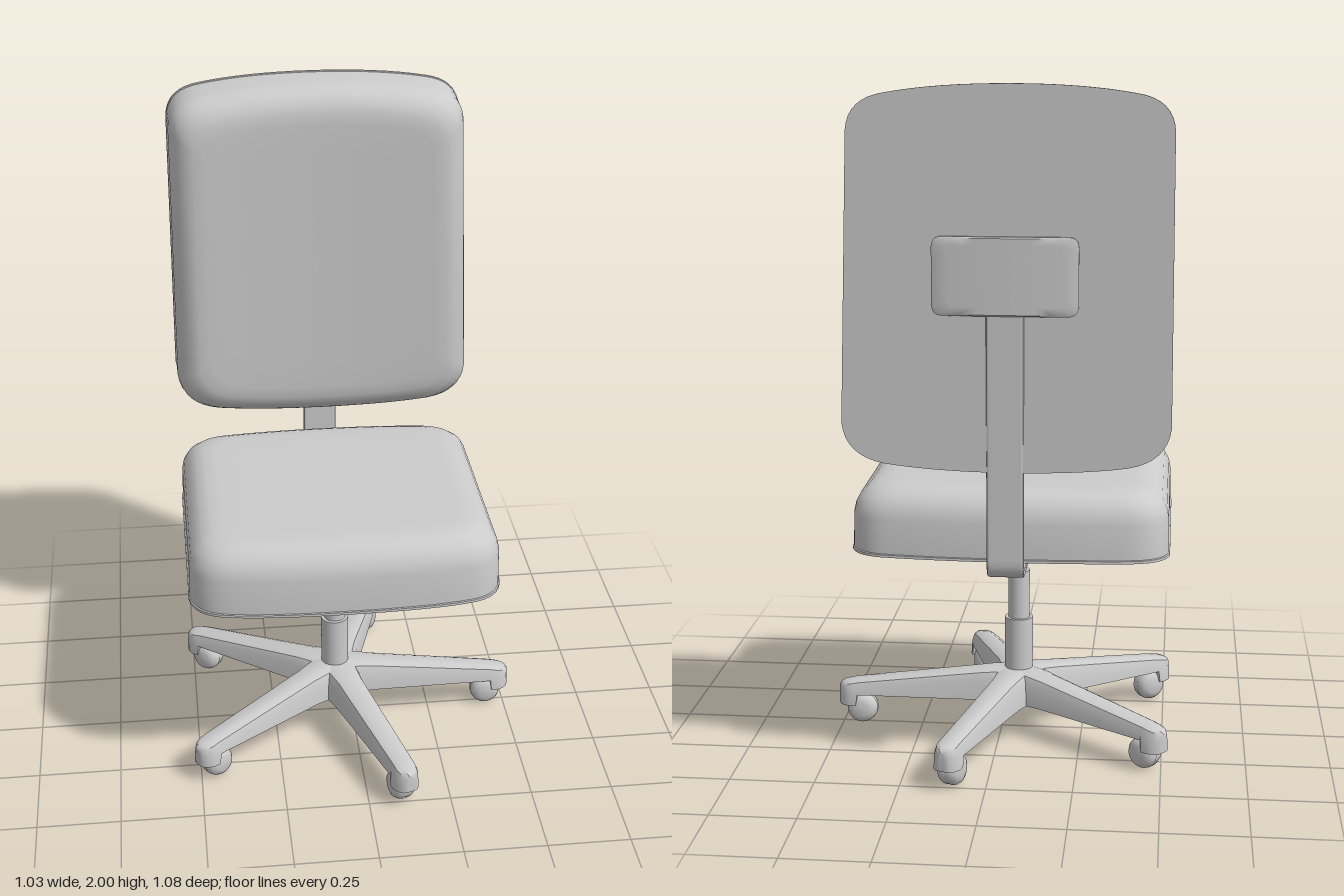
import * as THREE from 'three';
import { toCreasedNormals } from 'three/addons/utils/BufferGeometryUtils.js';

const CX = -0.053; // centre line of the chair
const material = new THREE.MeshStandardMaterial({ color: 0xcccccc });

function add(parent, name, geometry, x = 0, y = 0, z = 0) {
  const mesh = new THREE.Mesh(geometry, material);
  mesh.name = name;
  mesh.position.set(x, y, z);
  parent.add(mesh);
  return mesh;
}

// Skin a list of rings (counter-clockwise about the direction of travel) and cap both ends
function loft(rings, crease = 0.6) {
  const n = rings[0].length;
  const verts = rings.flat();
  const index = [];
  for (let i = 0; i < rings.length - 1; i++) {
    for (let j = 0; j < n; j++) {
      const k = (j + 1) % n;
      const a = i * n + j, b = i * n + k, c = b + n, d = a + n;
      index.push(a, b, c, a, c, d);
    }
  }
  for (const [start, flip] of [[0, true], [(rings.length - 1) * n, false]]) {
    const centre = new THREE.Vector3();
    for (let j = 0; j < n; j++) centre.addScaledVector(verts[start + j], 1 / n);
    const c = verts.push(centre) - 1;
    for (let j = 0; j < n; j++) {
      const a = start + j, b = start + (j + 1) % n;
      index.push(c, flip ? b : a, flip ? a : b);
    }
  }
  const geometry = new THREE.BufferGeometry().setFromPoints(verts);
  geometry.setIndex(index);
  return toCreasedNormals(geometry, crease);
}

// Pad: half outline mirrored, stacked with insets, then closed by a soft crown
function pad(half, hu, hv, layers, warp) {
  const right = half.getPoints(8);
  const left = right.slice(1, -1).reverse().map((p) => new THREE.Vector2(-p.x, p.y));
  const outline = [...right, ...left];
  const ring = (su, sv, h) => outline.map((p) => warp(p.x * su, p.y * sv, h));
  const rings = layers.map(([d, h]) => ring(1 - d / hu, 1 - d / hv, h));
  const [d, h] = layers[layers.length - 1];
  for (const s of [0.8, 0.6, 0.4, 0.2, 0.03]) rings.push(ring((1 - d / hu) * s, (1 - d / hv) * s, h));
  return loft(rings, 0.7);
}

function roundRect(w, h, r) {
  const s = new THREE.Shape();
  const x = w / 2, y = h / 2;
  s.absarc(x - r, y - r, r, 0, Math.PI / 2);
  s.absarc(r - x, y - r, r, Math.PI / 2, Math.PI);
  s.absarc(r - x, r - y, r, Math.PI, Math.PI * 1.5);
  s.absarc(x - r, r - y, r, Math.PI * 1.5, Math.PI * 2);
  s.closePath();
  return s;
}

const slab = (shape, depth) =>
  new THREE.ExtrudeGeometry(shape, { depth, bevelEnabled: false, curveSegments: 6 });

function seatGeometry() {
  const half = new THREE.Shape();
  half.moveTo(0, -0.452);
  half.quadraticCurveTo(0.25, -0.452, 0.36, -0.428);
  half.quadraticCurveTo(0.45, -0.41, 0.4625, -0.32);
  half.lineTo(0.4625, 0.3);
  half.quadraticCurveTo(0.45, 0.385, 0.36, 0.4);
  half.quadraticCurveTo(0.2, 0.42, 0, 0.42);
  const layers = [[0, 0], [0, 0.008], [0.003, 0.01], [0.005, 0.115], [0.011, 0.145], [0.025, 0.173],
    [0.048, 0.194], [0.075, 0.205], [0.11, 0.208]];
  const geometry = pad(half, 0.4625, 0.435, layers,
    (u, v, h) => new THREE.Vector3(u, v, h - 0.012 * (v + 0.4) * h / 0.2));
  return geometry.rotateX(-Math.PI / 2);
}

function backrestGeometry() {
  const half = new THREE.Shape();
  half.moveTo(0, -0.535);
  half.quadraticCurveTo(0.2, -0.535, 0.34, -0.515);
  half.quadraticCurveTo(0.45, -0.495, 0.46, -0.4);
  half.lineTo(0.446, 0.41);
  half.quadraticCurveTo(0.44, 0.495, 0.34, 0.51);
  half.quadraticCurveTo(0.2, 0.535, 0, 0.535);
  const layers = [[0, 0], [0, 0.012], [0.002, 0.014], [0.004, 0.115], [0.01, 0.145], [0.025, 0.175],
    [0.048, 0.196], [0.075, 0.206], [0.11, 0.208]];
  // the face is slightly hollow across its width and thinner towards the top
  return pad(half, 0.46, 0.535, layers, (u, v, h) => new THREE.Vector3(
    u - 0.012 * (v + 0.5), v, h + (h / 0.2) * (0.11 * u * u - 0.01 - 0.008 * v)));
}

// Slightly bowed plate behind the backrest
function backPlateGeometry() {
  const half = new THREE.Shape();
  half.moveTo(0, -0.109);
  half.quadraticCurveTo(0.085, -0.109, 0.172, -0.109);
  half.quadraticCurveTo(0.2025, -0.109, 0.2025, -0.079);
  half.lineTo(0.2025, 0.079);
  half.quadraticCurveTo(0.2025, 0.109, 0.172, 0.109);
  half.quadraticCurveTo(0.085, 0.109, 0, 0.109);
  return pad(half, 0.2025, 0.109, [[0, 0], [0, 0.014], [0.004, 0.018]],
    (u, v, h) => new THREE.Vector3(u, v, h * (1 - 12 * u * u))).rotateY(Math.PI);
}

// Bent flat bar that carries the backrest
function supportBarGeometry() {
  const s = new THREE.Shape();
  s.moveTo(0.1, 0.615);
  s.lineTo(0.42, 0.615);
  s.quadraticCurveTo(0.465, 0.615, 0.467, 0.67);
  s.lineTo(0.48, 1.42);
  s.lineTo(0.458, 1.42);
  s.lineTo(0.446, 0.68);
  s.quadraticCurveTo(0.445, 0.637, 0.41, 0.637);
  s.lineTo(0.1, 0.637);
  const g = new THREE.ExtrudeGeometry(s, {
    depth: 0.091, bevelThickness: 0.007, bevelSize: 0.005, bevelOffset: -0.005, bevelSegments: 2,
  });
  return g.translate(0, 0, -0.0455).rotateY(Math.PI / 2);
}

// Tapered base leg along +x with a hood over the caster
function legGeometry() {
  const stations = [ // distance, half width, top, bottom
    [0, 0.058, 0.2, 0.1], [0.07, 0.058, 0.198, 0.1], [0.12, 0.051, 0.192, 0.1],
    [0.505, 0.042, 0.143, 0.098], [0.51, 0.042, 0.142, 0.062], [0.53, 0.042, 0.138, 0.062],
    [0.548, 0.034, 0.134, 0.062], [0.56, 0.022, 0.127, 0.062], [0.565, 0.01, 0.12, 0.064],
  ];
  return loft(stations.map(([x, w, t, b]) => [
    [b, w], [b, -w], [t - 0.03, -w * 0.93], [t - 0.008, -w * 0.75], [t, -w * 0.4],
    [t, w * 0.4], [t - 0.008, w * 0.75], [t - 0.03, w * 0.93],
  ].map(([y, z]) => new THREE.Vector3(x, y, z))));
}

// Rounded twin wheel, axle along z
function wheelGeometry() {
  const profile = [[0, -0.037], [0.022, -0.036], [0.037, -0.03], [0.045, -0.019], [0.048, -0.006],
    [0.045, 0], [0.048, 0.006], [0.045, 0.019], [0.037, 0.03], [0.022, 0.036], [0, 0.037]];
  return new THREE.LatheGeometry(profile.map(([r, y]) => new THREE.Vector2(r, y)), 24).rotateX(Math.PI / 2);
}

export function createModel() {
  const chair = new THREE.Group();
  chair.name = 'officeChair';

  add(chair, 'seat', seatGeometry(), CX, 0.655, 0);
  add(chair, 'backrest', backrestGeometry(), CX, 1.465, -0.47);

  // Seat plate, open-ended tilt housing and back support
  add(chair, 'seatPlate', slab(roundRect(0.5, 0.47, 0.06), 0.014).rotateX(-Math.PI / 2), CX, 0.643, 0);
  const housing = roundRect(0.162, 0.06, 0.022);
  housing.holes.push(roundRect(0.156, 0.054, 0.019));
  add(chair, 'tiltHousing', slab(housing, 0.36), CX, 0.615, -0.18);
  add(chair, 'supportBar', supportBarGeometry(), CX);
  add(chair, 'backPlate', backPlateGeometry(), CX, 1.481, -0.468);

  // Height lever
  const path = new THREE.CatmullRomCurve3([
    new THREE.Vector3(CX, 0.628, -0.01), new THREE.Vector3(-0.2, 0.617, -0.01),
    new THREE.Vector3(-0.4, 0.6, -0.01),
  ]);
  add(chair, 'leverRod', new THREE.TubeGeometry(path, 12, 0.007, 8));
  const paddle = add(chair, 'leverPaddle', new THREE.SphereGeometry(1, 16, 10), -0.43, 0.596, -0.01);
  paddle.scale.set(0.052, 0.011, 0.024);
  paddle.rotation.z = 0.1;

  // Telescopic gas column
  for (const [name, r, y0, y1] of [['columnLower', 0.043, 0.15, 0.36],
    ['columnMiddle', 0.033, 0.36, 0.51], ['columnUpper', 0.023, 0.51, 0.645]]) {
    add(chair, name, new THREE.CylinderGeometry(r, r, y1 - y0, 32), CX, (y0 + y1) / 2, 0);
  }

  // Five-star base with casters
  const leg = legGeometry();
  const wheel = wheelGeometry();
  const stem = new THREE.CylinderGeometry(0.012, 0.012, 0.07, 12);
  for (let i = 0; i < 5; i++) {
    const arm = new THREE.Group();
    arm.name = 'baseArm' + (i + 1);
    arm.position.x = CX;
    arm.rotation.y = (i * Math.PI * 2) / 5;
    add(arm, 'leg', leg);
    add(arm, 'casterWheel', wheel, 0.493, 0.048, 0);
    add(arm, 'casterStem', stem, 0.493, 0.085, 0);
    chair.add(arm);
  }
  return chair;
}
